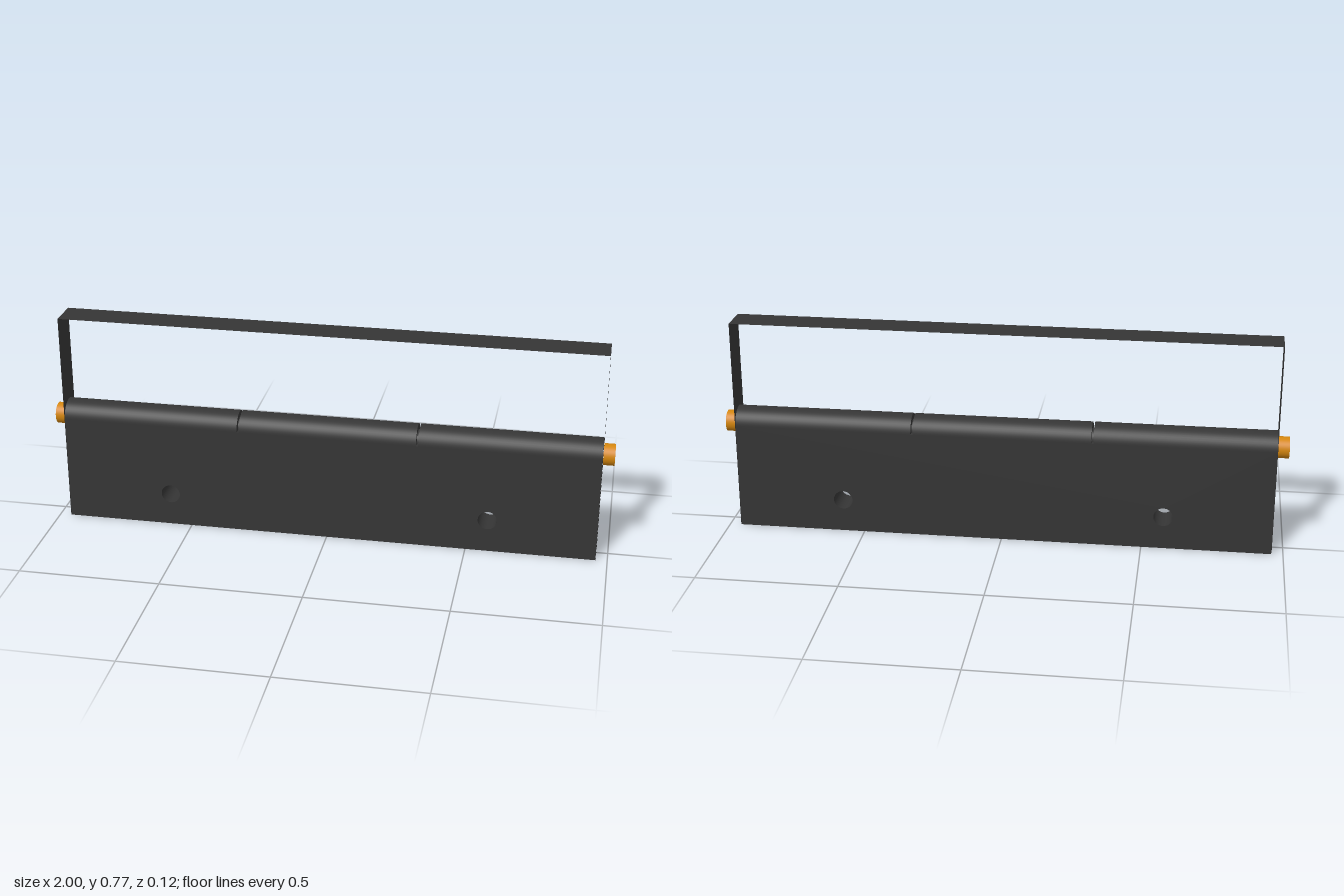
import * as THREE from 'three';

const W = 0.96;       // half width of the block
const R = 0.058;      // half depth, also the rounded top radius
const AXIS = 0.385;   // height of the hinge axis
const TOP = 0.77;     // height of the frame

export function createModel() {
  const group = new THREE.Group();
  const dark = new THREE.MeshStandardMaterial({ color: 0x353535, side: THREE.DoubleSide });
  dark.name = 'darkGrey';
  const orange = new THREE.MeshStandardMaterial({ color: 0xd4860f });
  orange.name = 'orange';

  const add = (name, geometry, material, x = 0, y = 0, z = 0) => {
    const mesh = new THREE.Mesh(geometry, material);
    mesh.name = name;
    mesh.position.set(x, y, z);
    group.add(mesh);
    return mesh;
  };
  // Cylinder lying along x; half = only its upper half
  const rod = (name, radius, length, material, x, half = false) => {
    const geo = new THREE.CylinderGeometry(radius, radius, length, half ? 24 : 48, 1, false, 0, half ? Math.PI : Math.PI * 2);
    add(name, geo.rotateZ(Math.PI / 2), material, x, AXIS, 0);
  };

  // Block with two through holes
  const end = W - 0.001;
  const shape = new THREE.Shape();
  shape.moveTo(-end, 0).lineTo(end, 0).lineTo(end, AXIS).lineTo(-end, AXIS).closePath();
  for (const side of [-1, 1]) {
    shape.holes.push(new THREE.Path().absarc(side * 0.575, 0.12, 0.034, 0, Math.PI * 2, true));
  }
  const block = new THREE.ExtrudeGeometry(shape, { depth: R * 2, bevelEnabled: false, curveSegments: 24 });
  add('block', block, dark, 0, 0, -R);

  // Rounded hinge knuckles separated by narrow slits, and the core inside
  const pitch = 0.64, gap = 0.008;
  for (const i of [-1, 0, 1]) {
    const length = i === 0 ? pitch - gap : pitch - gap / 2 - 0.001;
    const x = i * (pitch + gap / 4 - 0.0005);
    rod('knuckle', R, length, dark, x, true);
  }
  rod('hingeCore', 0.037, end * 2 - 0.01, dark, 0);

  // Thin strap frame: two side walls and a top band
  for (const side of [-1, 1]) {
    const wall = new THREE.PlaneGeometry(R * 2, TOP).rotateY(side * Math.PI / 2);
    add(side > 0 ? 'leftFrameWall' : 'rightFrameWall', wall, dark, side * W, TOP / 2, 0);
    // Projecting pin ends
    rod(side > 0 ? 'leftPin' : 'rightPin', 0.038, 0.04, orange, side * 0.98);
  }
  add('frameTop', new THREE.PlaneGeometry(W * 2, R * 2).rotateX(-Math.PI / 2), dark, 0, TOP, 0);

  return group;
}
